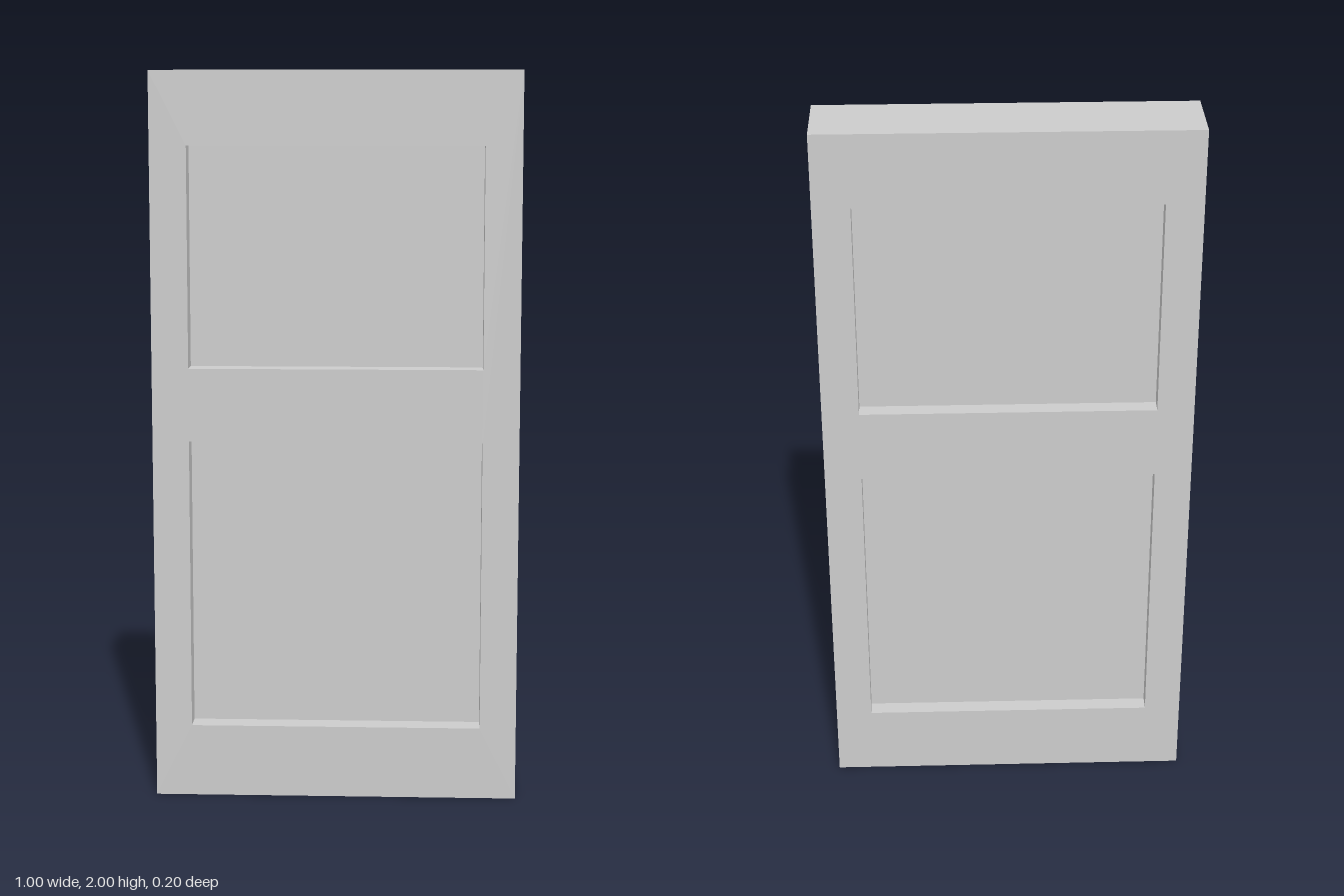
import * as THREE from 'three';

const WIDTH = 1, HEIGHT = 2, DEPTH = 0.2;
const OPENING_X = 0.4;
const OPENINGS = [
  { name: 'lowerPanel', bottom: 0.2, top: 1.0 },
  { name: 'upperPanel', bottom: 1.2, top: 1.8 },
];
// Panel faces: recessed a little deeper at the front than at the back
const PANEL_FRONT = 0.035, PANEL_BACK = -0.055;

function rectangle(PathType, x, bottom, top) {
  return new PathType([
    new THREE.Vector2(-x, bottom),
    new THREE.Vector2(x, bottom),
    new THREE.Vector2(x, top),
    new THREE.Vector2(-x, top),
  ]);
}

export function createModel() {
  const door = new THREE.Group();
  door.name = 'door';
  const material = new THREE.MeshStandardMaterial({ color: 0xcccccc, flatShading: true });

  // Frame: stiles and rails around two openings
  const outline = rectangle(THREE.Shape, WIDTH / 2, 0, HEIGHT);
  for (const o of OPENINGS) {
    outline.holes.push(rectangle(THREE.Path, OPENING_X, o.bottom, o.top));
  }
  const frameGeometry = new THREE.ExtrudeGeometry(outline, { depth: DEPTH, bevelEnabled: false });
  frameGeometry.translate(0, 0, -DEPTH / 2);
  const frame = new THREE.Mesh(frameGeometry, material);
  frame.name = 'frame';
  door.add(frame);

  // Recessed panels filling the openings
  for (const o of OPENINGS) {
    const panel = new THREE.Mesh(
      new THREE.BoxGeometry(OPENING_X * 2, o.top - o.bottom, PANEL_FRONT - PANEL_BACK),
      material
    );
    panel.position.set(0, (o.bottom + o.top) / 2, (PANEL_FRONT + PANEL_BACK) / 2);
    panel.name = o.name;
    door.add(panel);
  }
  return door;
}
